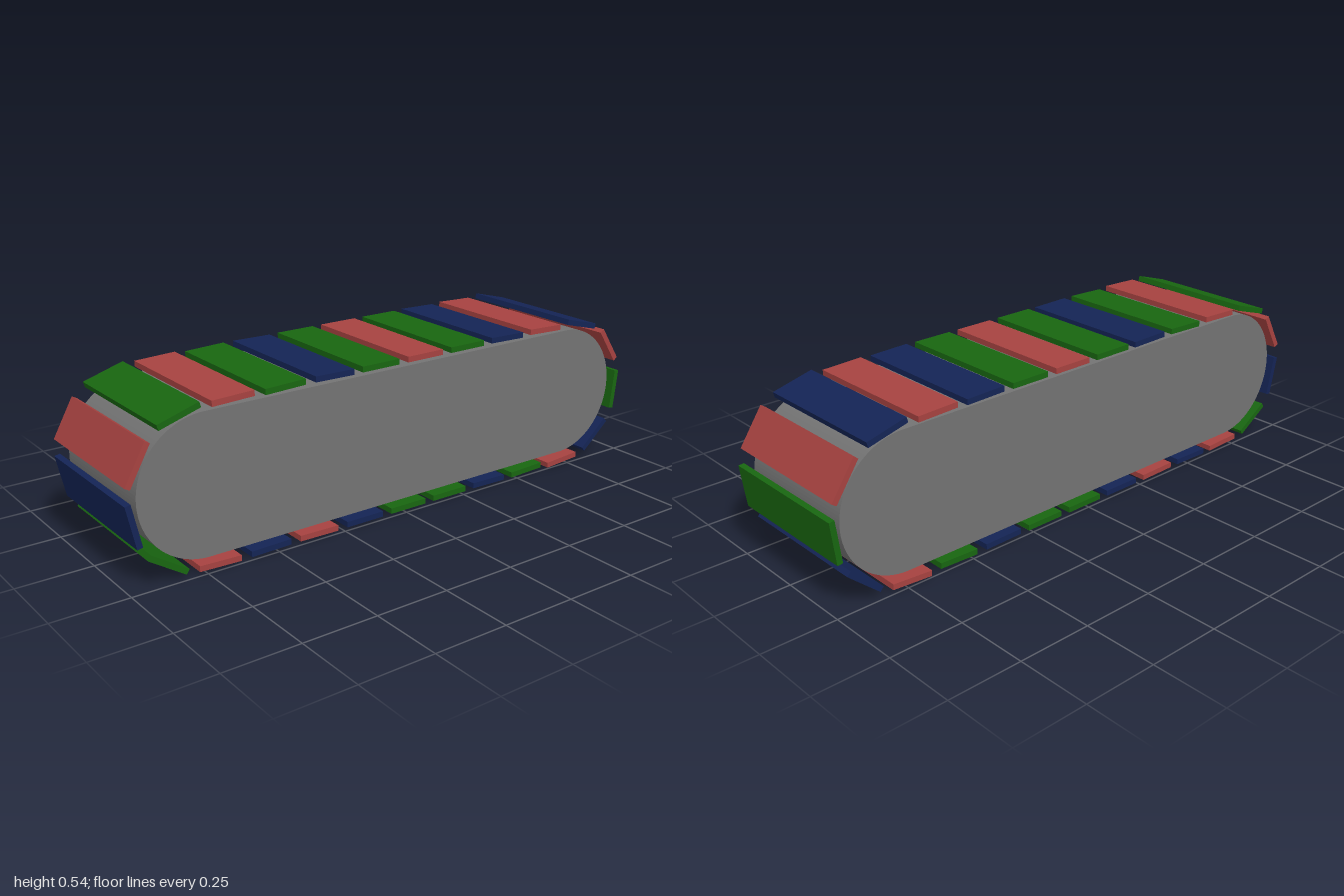
import * as THREE from 'three';

const RED = 0xa64240, GREEN = 0x186610, BLUE = 0x142455, DARK_GREY = 0x737373;

export function createModel() {
  const model = new THREE.Group();

  // Stadium-shaped core the belt runs around
  const half = 0.728, r = 0.229, cy = 0.272, depth = 0.456;
  const outline = new THREE.Shape();
  outline.absarc(half, cy, r, -Math.PI / 2, Math.PI / 2, false);
  outline.absarc(-half, cy, r, Math.PI / 2, Math.PI * 1.5, false);
  outline.closePath();
  const coreGeometry = new THREE.ExtrudeGeometry(outline, { depth, bevelEnabled: false, curveSegments: 32 });
  coreGeometry.translate(0, 0, -depth / 2);
  const core = new THREE.Mesh(coreGeometry, new THREE.MeshStandardMaterial({ color: DARK_GREY }));
  core.name = 'trackCore';
  model.add(core);

  // Slats clockwise from top left: x, y, tilt in degrees, colour
  const slats = [
    [-0.816, 0.509, 17, GREEN],
    [-0.639, 0.526, 2, RED],
    [-0.459, 0.526, 2, GREEN],
    [-0.28, 0.527, -1, BLUE],
    [-0.104, 0.527, 0, GREEN],
    [0.075, 0.527, 0, RED],
    [0.254, 0.527, 0, GREEN],
    [0.432, 0.527, -1.5, BLUE],
    [0.611, 0.526, -2, RED],
    [0.79, 0.517, -14.5, BLUE],
    [0.939, 0.415, -56, RED],
    [0.982, 0.238, 83, GREEN],
    [0.893, 0.078, 41, BLUE],
    [0.728, 0.0155, 4, RED],
    [0.55, 0.018, 2, GREEN],
    [0.37, 0.018, -1, BLUE],
    [0.192, 0.018, 0, GREEN],
    [0.013, 0.018, 0, GREEN],
    [-0.165, 0.018, 0, BLUE],
    [-0.345, 0.018, -1, RED],
    [-0.523, 0.018, 1, BLUE],
    [-0.702, 0.018, -2, RED],
    [-0.873, 0.063, -33, GREEN],
    [-0.975, 0.21, -78, BLUE],
    [-0.953, 0.391, 61, RED],
  ];
  const slatGeometry = new THREE.BoxGeometry(0.143, 0.019, 0.488);
  const materials = new Map([RED, GREEN, BLUE].map((color) => [color, new THREE.MeshStandardMaterial({ color })]));
  const belt = new THREE.Group();
  belt.name = 'trackBelt';
  slats.forEach(([x, y, tilt, color], i) => {
    const slat = new THREE.Mesh(slatGeometry, materials.get(color));
    slat.name = `slat${i + 1}`;
    slat.position.set(x, y, 0);
    slat.rotation.z = THREE.MathUtils.degToRad(tilt);
    belt.add(slat);
  });
  model.add(belt);
  return model;
}
